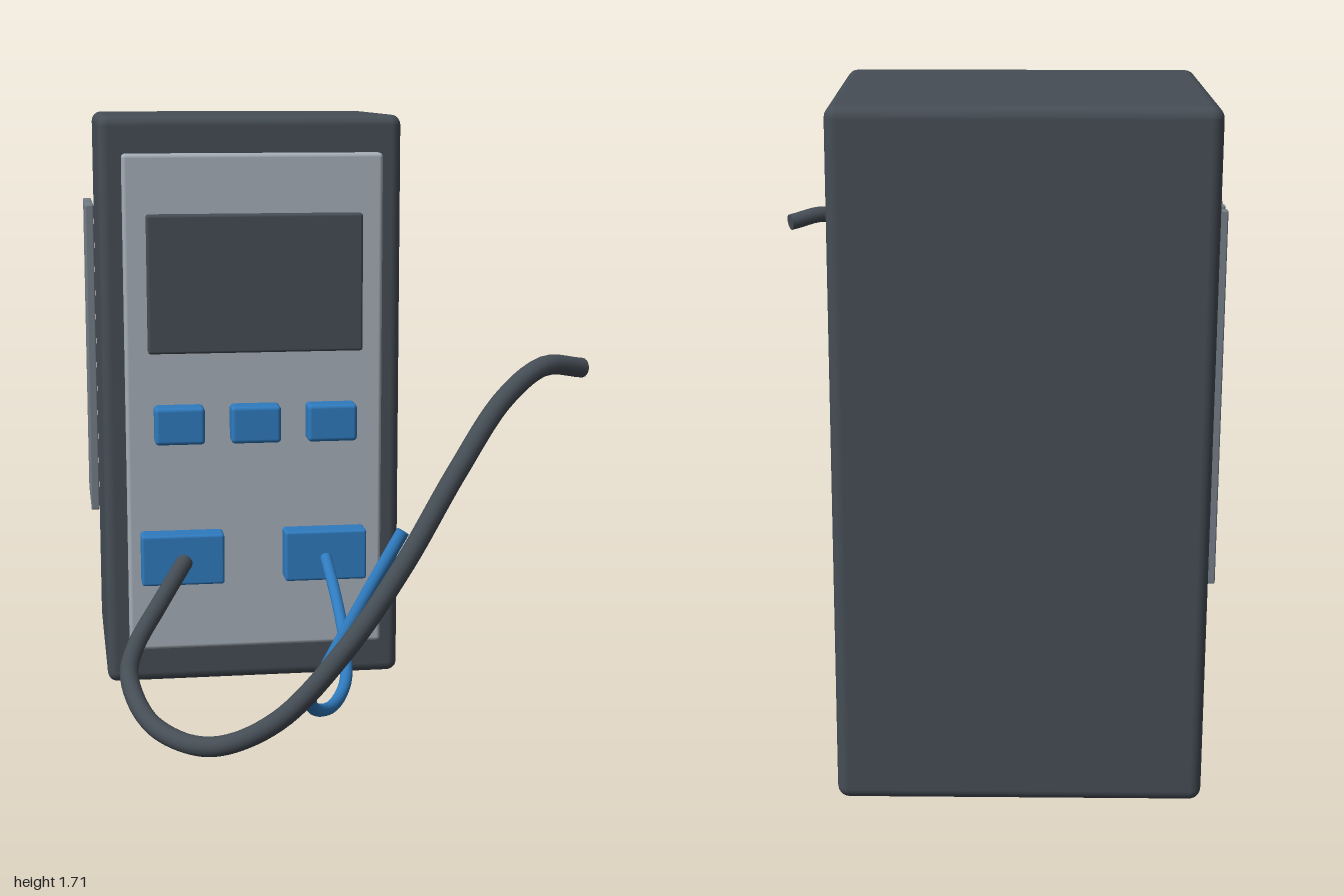
import * as THREE from 'three';
import { RoundedBoxGeometry } from 'three/addons/geometries/RoundedBoxGeometry.js';

const material = (name, color) => {
  const m = new THREE.MeshStandardMaterial({ color });
  m.name = name;
  return m;
};

export function createModel() {
  const model = new THREE.Group();
  model.name = 'benchInstrument';
  const charcoal = material('charcoal', 0x454d55);
  const lightGrey = material('lightGrey', 0xa5aeb8);
  const blue = material('blue', 0x2f7bbf);
  const steel = material('steel', 0x747d87);

  const add = (name, geometry, mat, parent = model) => {
    const mesh = new THREE.Mesh(geometry, mat);
    mesh.name = name;
    parent.add(mesh);
    return mesh;
  };

  // Rounded block given by its extents on each axis
  const block = (name, [x0, x1], [y0, y1], [z0, z1], radius, mat) => {
    const geometry = new RoundedBoxGeometry(x1 - x0, y1 - y0, z1 - z0, 3, radius);
    add(name, geometry, mat).position.set((x0 + x1) / 2, (y0 + y1) / 2, (z0 + z1) / 2);
  };

  // Smooth cable through points, with closed ends
  const cable = (name, points, radius, mat) => {
    const group = new THREE.Group();
    group.name = name;
    model.add(group);
    const curve = new THREE.CatmullRomCurve3(points.map((p) => new THREE.Vector3(...p)));
    add(name + 'Sleeve', new THREE.TubeGeometry(curve, 96, radius, 14), mat, group);
    for (const t of [0, 1]) {
      const cap = add(name + 'End', new THREE.CircleGeometry(radius, 14), mat, group);
      const outward = curve.getTangentAt(t).multiplyScalar(t ? 1 : -1);
      cap.position.copy(curve.getPointAt(t));
      cap.quaternion.setFromUnitVectors(new THREE.Vector3(0, 0, 1), outward);
    }
  };

  // Housing, front panel and screen
  block('housing', [-0.572, 0.32], [0, 1.705], [-1, -0.288], 0.03, charcoal);
  block('frontPanel', [-0.506, 0.256], [0.118, 1.597], [-0.29, -0.234], 0.012, lightGrey);
  block('screen', [-0.44, 0.19], [1.022, 1.425], [-0.237, -0.19], 0.008, charcoal);

  // Row of three buttons
  for (const x of [-0.353, -0.13, 0.095]) {
    block('button', [x - 0.073, x + 0.073], [0.76, 0.87], [-0.222, -0.146], 0.012, blue);
  }

  // Two cable sockets
  for (const x of [-0.348, 0.077]) {
    block('socket', [x - 0.122, x + 0.122], [0.337, 0.488], [-0.234, -0.156], 0.008, blue);
  }

  // Vent slats standing off the side
  for (let i = 0; i < 6; i++) {
    const z = -0.803 + i * 0.063;
    block('ventSlat', [-0.608, -0.583], [0.5, 1.437], [z - 0.012, z + 0.012], 0.004, steel);
  }

  // Thick dark cable
  cable('darkCable', [
    [-0.345, 0.41, -0.15], [-0.43, 0.345, 0.05], [-0.51, 0.28, 0.25], [-0.533, 0.242, 0.4],
    [-0.48, 0.188, 0.63], [-0.35, 0.197, 0.82], [-0.2, 0.295, 0.93], [-0.045, 0.475, 0.97],
    [0.1, 0.67, 0.94], [0.24, 0.88, 0.878], [0.37, 1.045, 0.81], [0.48, 1.115, 0.76],
    [0.595, 1.1, 0.7],
  ], 0.025, charcoal);

  // Thin blue cable
  cable('blueCable', [
    [0.075, 0.41, -0.15], [0.083, 0.33, 0], [0.08, 0.24, 0.19], [0.055, 0.185, 0.35],
    [0, 0.165, 0.475], [-0.055, 0.188, 0.56], [-0.08, 0.25, 0.64], [-0.05, 0.34, 0.69],
    [0.05, 0.53, 0.703], [0.145, 0.695, 0.7],
  ], 0.017, blue);

  return model;
}
